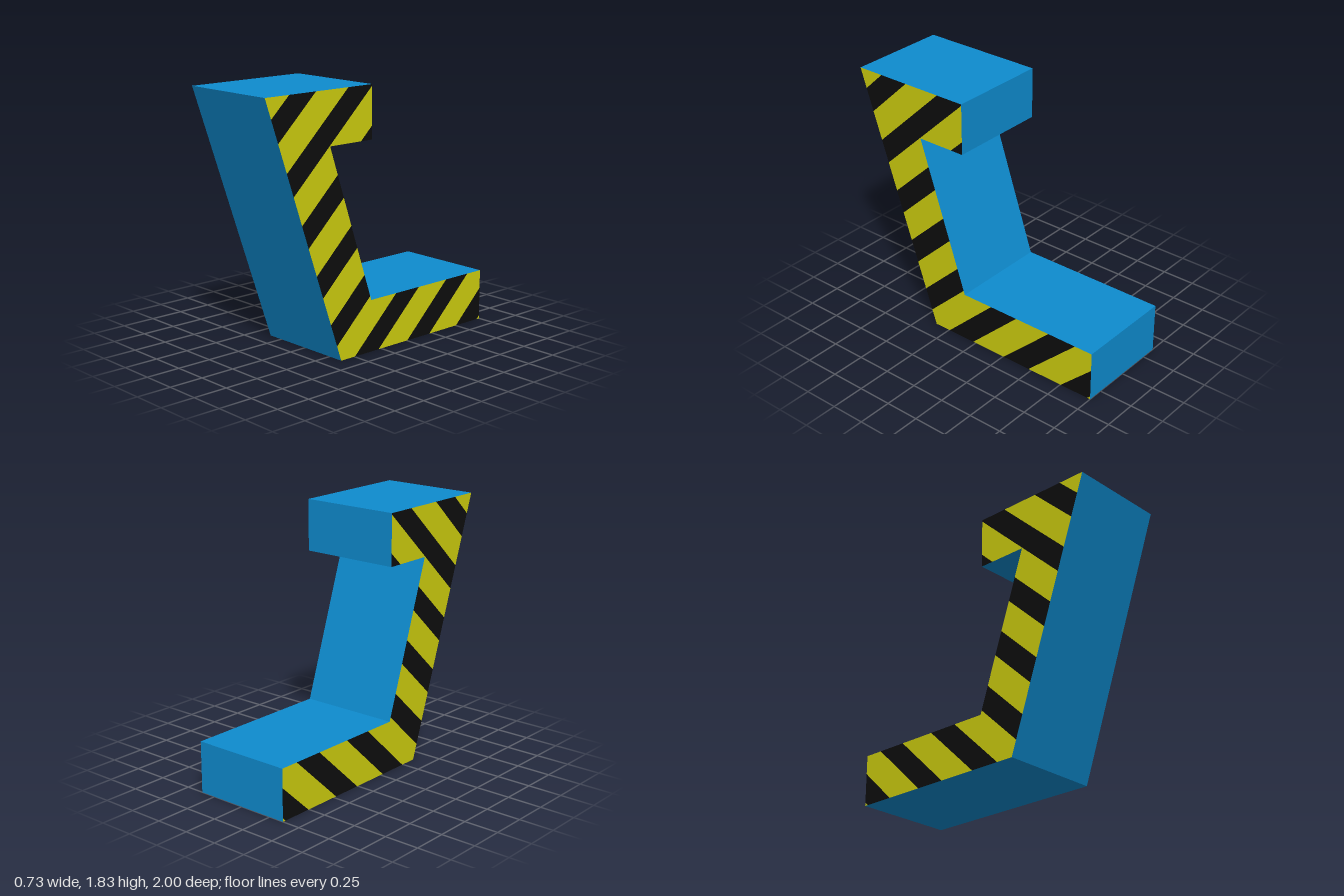
import * as THREE from 'three';

const HALF = 0.365; // half width along x

// Side profile as [z, y], counter-clockwise
const profile = [
  [0.37, 0], [1, 1.825], [0.095, 1.825], [0.095, 1.46],
  [0.465, 1.46], [0.095, 0.365], [-1, 0.365], [-1, 0],
];

// The same profile cut into convex pieces: head, leaning post, foot
const convexParts = [
  [[0.874, 1.46], [1, 1.825], [0.095, 1.825], [0.095, 1.46]],
  [[0.496, 0.365], [0.874, 1.46], [0.465, 1.46], [0.095, 0.365]],
  [[0.37, 0], [0.496, 0.365], [-1, 0.365], [-1, 0]],
];

// Diagonal stripes, measured by u = z + SLOPE * y
const SLOPE = 1.06, PERIOD = 0.499, START = 0.023, WIDTH = 0.221;
const along = ([z, y]) => z + SLOPE * y;

// Keep the part of a convex polygon where sign * (u - limit) >= 0
function clip(poly, limit, sign) {
  const out = [];
  poly.forEach((p, i) => {
    const q = poly[(i + 1) % poly.length];
    const a = sign * (along(p) - limit), b = sign * (along(q) - limit);
    if (a >= 0) out.push(p);
    if (a * b < 0) {
      const t = a / (a - b);
      out.push([p[0] + t * (q[0] - p[0]), p[1] + t * (q[1] - p[1])]);
    }
  });
  return out;
}

function makeMesh(name, positions, material) {
  const geometry = new THREE.BufferGeometry();
  geometry.setAttribute('position', new THREE.Float32BufferAttribute(positions, 3));
  geometry.computeVertexNormals();
  const mesh = new THREE.Mesh(geometry, material);
  mesh.name = name;
  return mesh;
}

// All bands of one colour on one side face (side = 1 is the left, +x)
function bandPositions(side, isStripe) {
  const positions = [];
  for (let n = -3; n <= 5; n++) {
    const low = START + n * PERIOD + (isStripe ? 0 : WIDTH);
    const high = low + (isStripe ? WIDTH : PERIOD - WIDTH);
    for (const part of convexParts) {
      const poly = clip(clip(part, low, 1), high, -1);
      for (let i = 1; i < poly.length - 1; i++) {
        const tri = [poly[0], poly[i], poly[i + 1]];
        if (side > 0) tri.reverse();
        for (const [z, y] of tri) positions.push(side * HALF, y, z);
      }
    }
  }
  return positions;
}

export function createModel() {
  const blue = new THREE.MeshStandardMaterial({ color: 0x0e8bce });
  blue.name = 'blue';
  const yellow = new THREE.MeshStandardMaterial({ color: 0xcccc0e });
  yellow.name = 'yellow';
  const black = new THREE.MeshStandardMaterial({ color: 0x0d0d0d });
  black.name = 'black';

  const group = new THREE.Group();
  group.name = 'hookedBlock';

  // Outer walls: one flat quad per profile edge
  const walls = [];
  profile.forEach((p, i) => {
    const q = profile[(i + 1) % profile.length];
    const a = [-HALF, p[1], p[0]], b = [HALF, p[1], p[0]];
    const c = [HALF, q[1], q[0]], d = [-HALF, q[1], q[0]];
    walls.push(...a, ...b, ...c, ...a, ...c, ...d);
  });
  group.add(makeMesh('walls', walls, blue));

  // Striped side faces
  for (const [label, side] of [['left', 1], ['right', -1]]) {
    group.add(makeMesh(label + 'SideFace', bandPositions(side, false), yellow));
    group.add(makeMesh(label + 'SideStripes', bandPositions(side, true), black));
  }
  return group;
}
